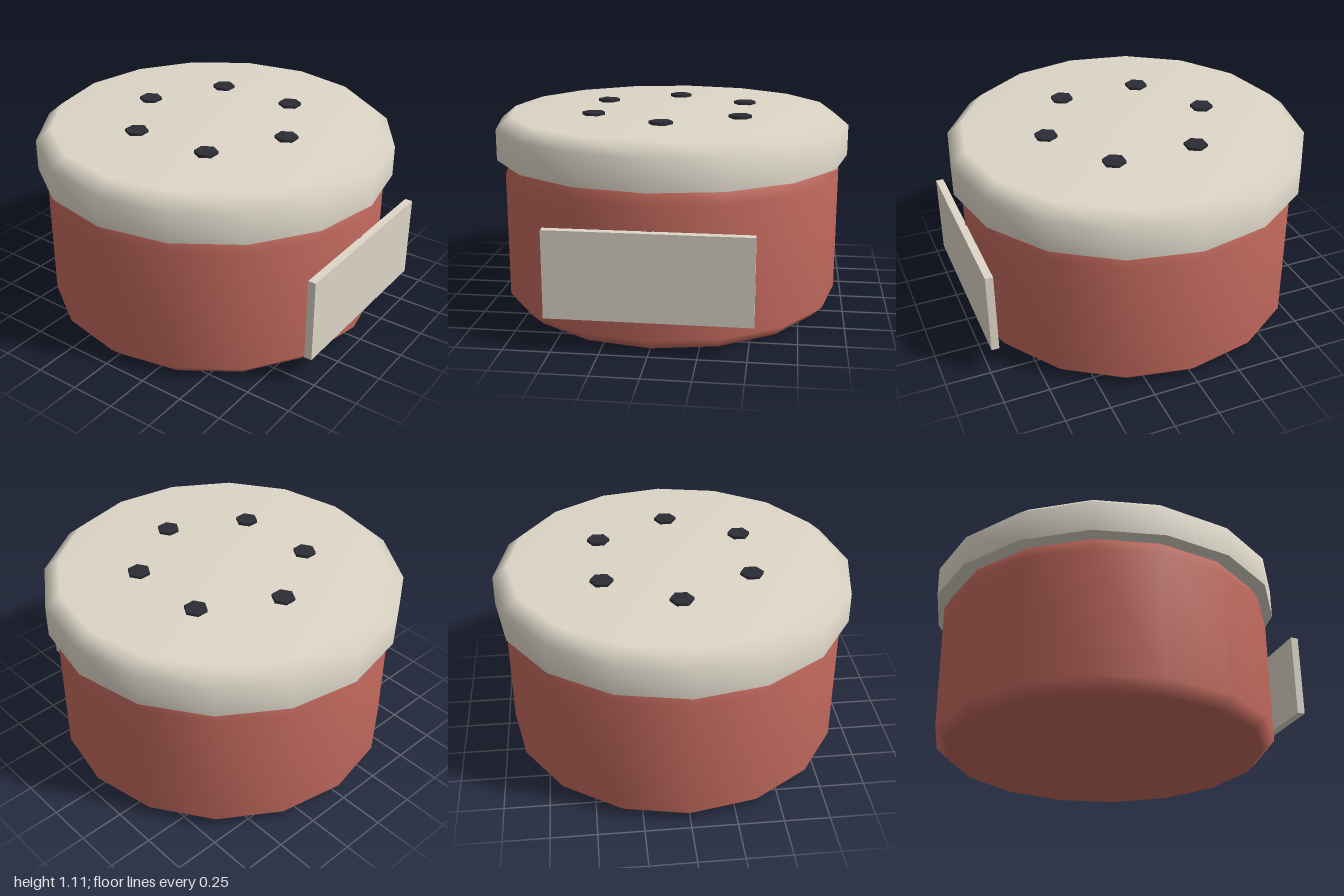
import * as THREE from 'three';

const material = (name, color) => {
  const m = new THREE.MeshStandardMaterial({ color });
  m.name = name;
  return m;
};

export function createModel() {
  const model = new THREE.Group();
  model.name = 'shakerJar';
  const red = material('brick red', 0xc46a5e);
  const cream = material('warm cream', 0xddd6c8);
  const dark = material('dark slate', 0x2c2c36);

  const add = (name, geometry, mat, x = 0, y = 0, z = 0) => {
    const mesh = new THREE.Mesh(geometry, mat);
    mesh.name = name;
    mesh.position.set(x, y, z);
    model.add(mesh);
    return mesh;
  };
  // Smooth 16-sided turned shape from [radius, height] pairs, bottom to top
  const turned = (profile) =>
    new THREE.LatheGeometry(profile.map(([r, y]) => new THREE.Vector2(r, y)), 16);

  // Jar body with bevelled base and shoulder
  add('body', turned([[0, 0], [0.89, 0], [0.955, 0.065], [0.955, 0.77], [0.91, 0.86]]), red);

  // Overhanging lid with a bevelled rim, and its flat underside
  add('lid', turned([[1, 0.85], [1, 1.02], [0.915, 1.09], [0, 1.09]]), cream);
  add('lidUnderside', turned([[0.85, 0.85], [1, 0.85]]), cream);

  // Ring of six shaker holes
  const hole = new THREE.CylinderGeometry(0.064, 0.064, 0.03, 6);
  for (let i = 0; i < 6; i++) {
    const a = (i * Math.PI) / 3;
    add('shakerHole', hole, dark, 0.468 * Math.cos(a), 1.091, 0.468 * Math.sin(a));
  }

  // Flat label on the left side
  add('label', new THREE.BoxGeometry(0.043, 0.465, 1.064), cream, 0.971, 0.412, 0);

  return model;
}
